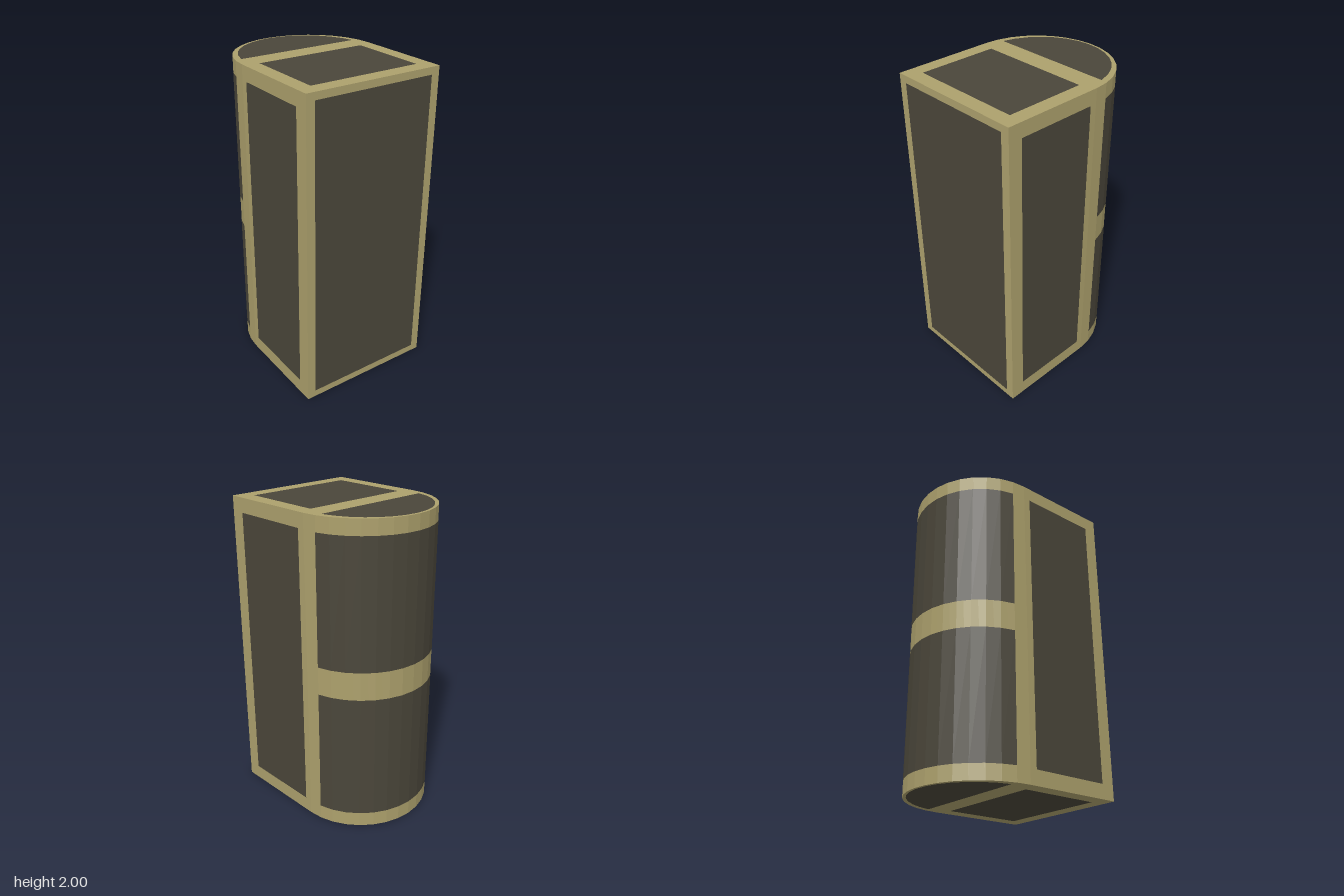
import * as THREE from 'three';

const R = 0.455, ARC_Z = -0.1, FRONT_Z = 0.555, H = 2, SEGS = 16;
const LIFT = 0.001; // panels sit just proud of the body

export function createModel() {
  const model = new THREE.Group();
  model.name = 'roundedBackCabinet';
  const frameMat = new THREE.MeshStandardMaterial({ color: 0xaca06c, flatShading: true });
  const panelMat = new THREE.MeshStandardMaterial({ color: 0x4a463a, flatShading: true });

  const add = (name, geometry, material) => {
    const mesh = new THREE.Mesh(geometry, material);
    mesh.name = name;
    model.add(mesh);
    return mesh;
  };

  // Corners of the round back, from the +x side to the -x side, as [x, z]
  const arc = [];
  for (let i = 0; i <= SEGS; i++) {
    const a = (i / SEGS) * Math.PI;
    arc.push([R * Math.cos(a), ARC_Z - R * Math.sin(a)]);
  }
  const toShape = (points, sign) =>
    new THREE.Shape(points.map(([x, z]) => new THREE.Vector2(x, sign * z)));

  // Body: square front, faceted half-round back
  const outline = [[-R, FRONT_Z], [R, FRONT_Z], ...arc];
  const body = new THREE.ExtrudeGeometry(toShape(outline, -1), { depth: H, bevelEnabled: false });
  add('body', body.rotateX(-Math.PI / 2), frameMat);

  // Front panel
  add('frontPanel', new THREE.PlaneGeometry(0.8, 1.91), panelMat)
    .position.set(0, H / 2, FRONT_Z + LIFT);

  // Side panels
  for (const [name, s] of [['leftPanel', 1], ['rightPanel', -1]]) {
    const side = add(name, new THREE.PlaneGeometry(0.52, 1.815), panelMat);
    side.rotation.y = s * Math.PI / 2;
    side.position.set(s * (R + LIFT), H / 2, 0.205);
  }

  // Curved back panels, leaving one facet of frame at each side
  const step = Math.PI / SEGS;
  for (const [name, y] of [['lowerBackPanel', 0.5025], ['upperBackPanel', 1.4975]]) {
    const curved = new THREE.CylinderGeometry(R + LIFT, R + LIFT, 0.815, SEGS - 2, 1, true,
      Math.PI / 2 + step, Math.PI - 2 * step);
    add(name, curved, panelMat).position.set(0, y, ARC_Z);
  }

  // Top and bottom panels: a rectangle in front, a half-round behind
  const rectangle = [[-0.363, 0.461], [0.363, 0.461], [0.363, -0.057], [-0.363, -0.057]];
  const halfRound = arc.slice(1, -1).map(([x, z]) => [x * 0.907, z * 0.945 - 0.016]);
  for (const [end, s, y] of [['top', 1, H + LIFT], ['bottom', -1, -LIFT]]) {
    for (const [part, points] of [['FrontPanel', rectangle], ['BackPanel', halfRound]]) {
      const flat = new THREE.ShapeGeometry(toShape(points, -s)).rotateX(-s * Math.PI / 2);
      add(end + part, flat, panelMat).position.y = y;
    }
  }
  return model;
}
